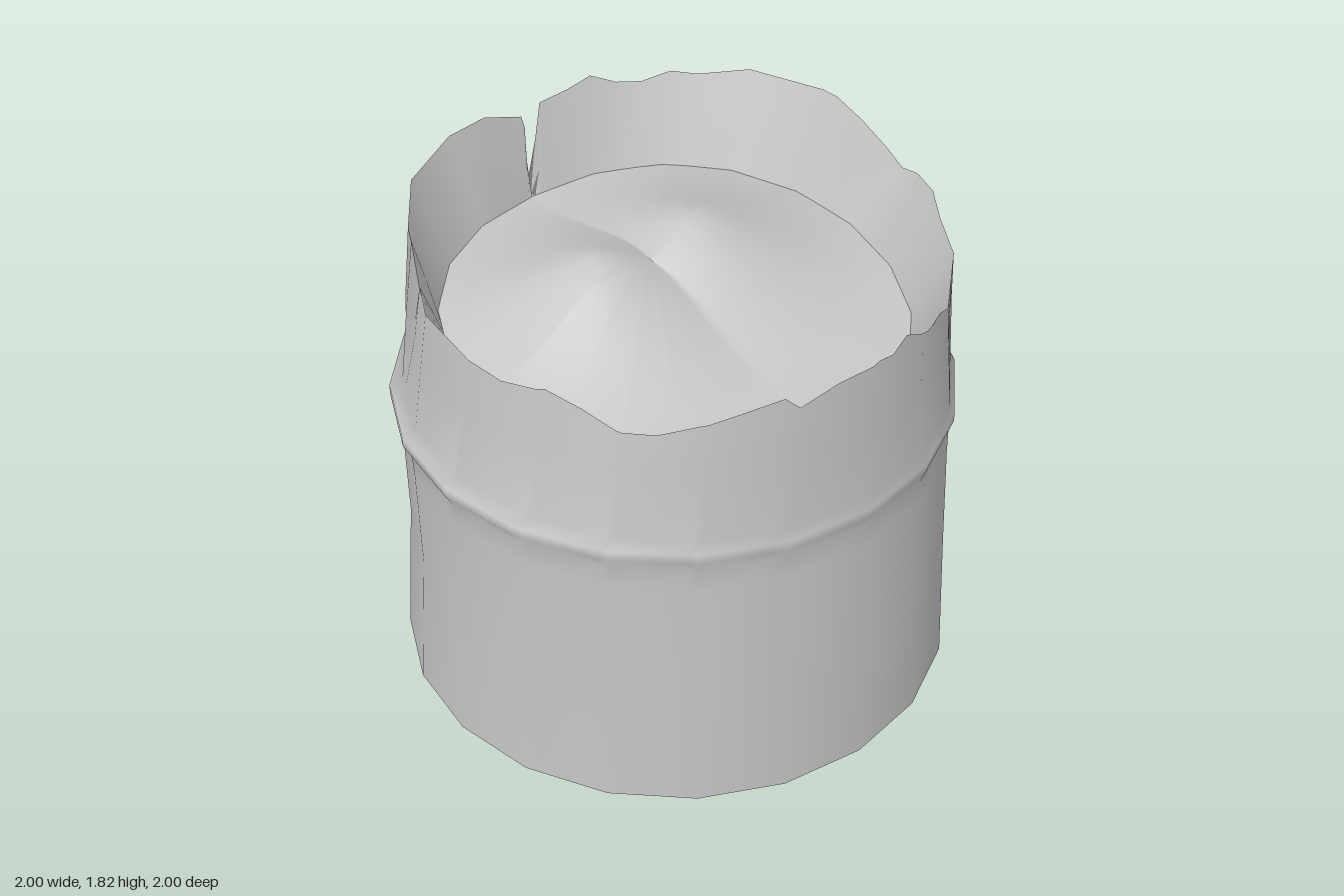
import * as THREE from 'three';

// Torn rim: angle in degrees (0 = front, 90 = +x), height
const RIM = [
  [0, 1.63], [9, 1.66], [20, 1.67], [25, 1.65], [30, 1.68], [40, 1.6], [45, 1.57], [49, 1.58], [54, 1.55],
  [63, 1.57], [72, 1.58], [84, 1.6], [90, 1.65], [96, 1.67], [102, 1.64], [108, 1.67], [115, 1.74],
  [122, 1.79], [143, 1.815], [155, 1.79], [161, 1.8], [168, 1.77], [174, 1.78], [180, 1.82], [186, 1.79],
  [193, 1.77], [195, 1.64], [197, 1.42], [199, 1.72], [200, 1.77], [209, 1.81],
  [216, 1.77], [234, 1.77], [246, 1.71], [252, 1.72], [256, 1.57], [260, 1.62],
  [270, 1.62], [287, 1.62], [297, 1.6], [308, 1.64], [316, 1.6], [325, 1.55],
  [332, 1.55], [341, 1.6], [348, 1.63], [357, 1.67], [360, 1.63],
];

// Lean of the torn top: angle, radius factor at the rim
const LEAN = [
  [0, 1], [20, 0.98], [45, 0.955], [70, 0.98], [90, 1], [135, 1.025], [165, 1], [193, 1], [197, 0.93],
  [200, 0.95], [209, 1.01], [216, 1.07], [234, 1.06], [246, 1.03], [252, 1], [256, 0.97], [262, 0.99],
  [280, 0.99], [315, 0.965], [340, 0.985], [360, 1],
];

// Outer sections: height, left x, right x, back z, front z
const SECTIONS = [
  [0, -0.99, 1.0, -1.0, 0.99], [0.55, -0.96, 0.965, -0.95, 0.99], [0.95, -0.97, 0.95, -0.925, 0.985],
  [1.04, -0.975, 0.95, -0.925, 0.985], [1.08, -1.0, 0.97, -0.96, 1.0], [1.115, -1.0, 0.97, -0.96, 1.0],
  [1.15, -0.955, 0.945, -0.92, 0.985], [1.42, -0.93, 0.94, -0.89, 0.985], [1.6, -0.91, 0.94, -0.87, 0.98],
  [1.85, -0.88, 0.92, -0.85, 0.97],
];

const rad = THREE.MathUtils.degToRad;

// Piecewise linear lookup in a table sorted by its first column
function lookup(table, t) {
  let i = 1;
  while (i < table.length - 1 && table[i][0] < t) i++;
  const a = table[i - 1], b = table[i];
  const f = (t - a[0]) / (b[0] - a[0]);
  return a.map((v, k) => v + (b[k] - v) * f);
}

// Columns: the twenty wall corners plus every rim point
const angles = [...new Set([...RIM.map((r) => r[0]), ...Array.from({ length: 20 }, (_, i) => i * 18)])]
  .filter((a) => a < 360).sort((a, b) => a - b);

// Point on an oval section, following straight sides between corners
function ovalPoint(deg, y, [, x0, x1, z0, z1]) {
  const k = Math.cos(rad(9)) / Math.cos(rad((deg % 18) - 9));
  return new THREE.Vector3(
    (x0 + x1) / 2 + ((x1 - x0) / 2) * k * Math.sin(rad(deg)), y,
    (z0 + z1) / 2 + ((z1 - z0) / 2) * k * Math.cos(rad(deg)));
}

// The lean grows from nothing at the ring to full at the rim
function wallPoint(deg, y) {
  const p = ovalPoint(deg, y, lookup(SECTIONS, y));
  const amount = THREE.MathUtils.clamp((y - 1.15) / 0.4, 0, 1);
  const lean = 1 + (lookup(LEAN, deg)[1] - 1) * amount;
  return p.set(p.x * lean, y, p.z * lean);
}

const rimPoint = (deg) => wallPoint(deg, lookup(RIM, deg)[1]);

// Floor height: tilted down to the front, with two soft humps
const HUMPS = [[-0.27, -0.04, 0.29], [0.13, -0.18, 0.27]];
function floorHeight(x, z) {
  const rises = HUMPS.map(([hx, hz, h]) => h * Math.max(0, 1 - Math.hypot(x - hx, z - hz, 0.08) / 0.72) ** 1.6);
  return 1.37 - 0.11 * z - 0.01 * x + Math.max(...rises);
}

function floorPoint(deg, f) {
  const p = ovalPoint(deg, 0, [0, -0.82, 0.8, -0.76, 0.83]);
  p.lerp(new THREE.Vector3(-0.06, 0, -0.08), f);
  p.y = floorHeight(p.x, p.z);
  return p;
}

// Closed surface through rows of points; side 1 or -1 rounds off
// the normals of an outward or inward facing wall
function loft(name, rows, material, side = 0) {
  const n = angles.length, index = [];
  const points = rows.flatMap((row) => angles.map((deg) => row(deg)));
  for (let i = 0; i < rows.length - 1; i++) {
    for (let j = 0; j < n; j++) {
      const a = i * n + j, b = i * n + ((j + 1) % n);
      index.push(a, b, b + n, a, b + n, a + n);
    }
  }
  const geometry = new THREE.BufferGeometry().setFromPoints(points);
  geometry.setIndex(index);
  geometry.computeVertexNormals();
  if (side) {
    const normal = geometry.attributes.normal;
    for (let i = 0; i < normal.count; i++) {
      const flat = side * Math.hypot(normal.getX(i), normal.getZ(i));
      const a = rad(angles[i % n]);
      normal.setXYZ(i, flat * Math.sin(a), normal.getY(i), flat * Math.cos(a));
    }
  }
  const mesh = new THREE.Mesh(geometry, material);
  mesh.name = name;
  return mesh;
}

export function createModel() {
  const group = new THREE.Group();
  group.name = 'hollowStump';
  const grey = new THREE.MeshStandardMaterial({ color: 0xc6c6c6 });
  grey.name = 'pale grey';

  // Outer wall with its raised ring and jagged top
  const outer = SECTIONS.slice(0, 7).map((s) => (deg) => wallPoint(deg, s[0]));
  outer.push((deg) => wallPoint(deg, Math.min(1.42, lookup(RIM, deg)[1] - 0.03)), rimPoint);
  group.add(loft('outerWall', outer, grey, 1));

  // Inner wall slopes from the rim to the floor edge
  const innerMid = (deg) => rimPoint(deg).lerp(floorPoint(deg, 0), 0.55);
  group.add(loft('innerWall', [rimPoint, innerMid, (deg) => floorPoint(deg, 0)], grey, -1));

  // Uneven floor
  const rings = Array.from({ length: 11 }, (_, i) => (deg) => floorPoint(deg, i / 10));
  group.add(loft('innerFloor', rings, grey));

  // Flat underside
  group.add(loft('underside', [() => new THREE.Vector3(), (deg) => wallPoint(deg, 0)], grey));
  return group;
}
